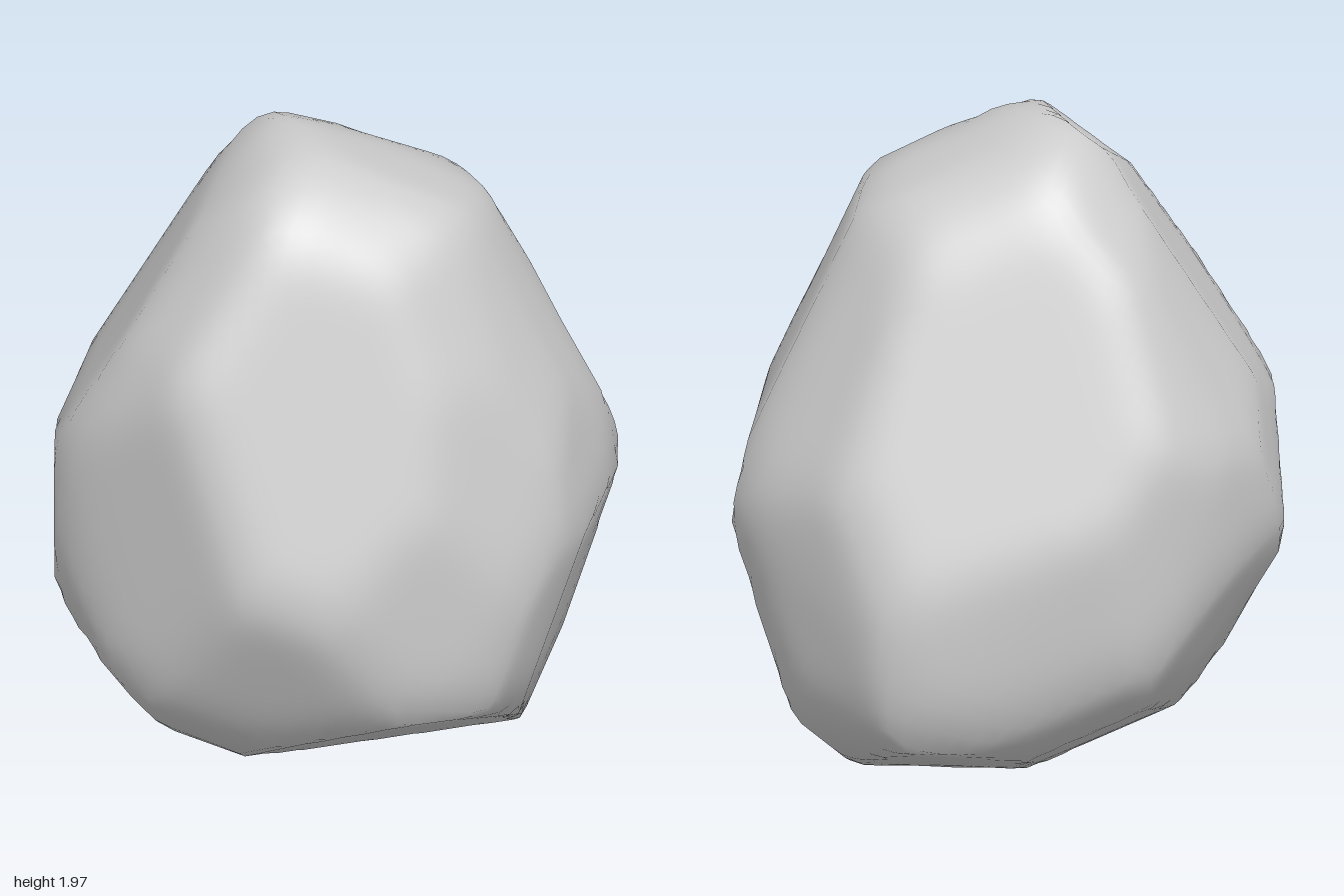
import * as THREE from 'three';
import { mergeVertices } from 'three/addons/utils/BufferGeometryUtils.js';

const CENTRE = new THREE.Vector3(0, 1, 0);

// Convex outlines (counter-clockwise, relative to the rock's centre), each on
// a plane turned and tilted by degrees. Every edge is one chisel cut.
const outlines = [
  { // width by height
    turn: 0, tilt: 0,
    points: [[-.28, -1.005], [.43, -.955], [.76, -.66], [.775, -.4], [.62, .3], [.4, .84],
      [.22, .95], [-.2, 1], [-.54, .57], [-.775, .02], [-.73, -.65]],
  },
  { // depth by height
    turn: 90, tilt: 0,
    points: [[-.38, -1.005], [.61, -.96], [.78, -.72], [.845, -.1], [.44, .78], [-.1, 1],
      [-.3, .95], [-.68, .43], [-.81, .15], [-.85, -.15], [-.78, -.62], [-.62, -.85]],
  },
  { // plan
    turn: 0, tilt: 90,
    points: [[-.28, .8], [-.7, .23], [-.775, -.1], [-.69, -.48], [-.22, -.85],
      [.47, -.64], [.62, -.43], [.77, .2], [.67, .47], [.37, .845]],
  },
  { // tilted diagonals
    turn: 35, tilt: 22.3,
    points: [[-.29, -1], [-.155, -1.035], [.645, -.79], [.81, -.2], [.73, .2], [.424, .78],
      [.203, .885], [-.22, .93], [-.4, .75], [-.83, -.03], [-.83, -.34], [-.627, -.66]],
  },
  {
    turn: -145, tilt: 22.3,
    points: [[-.573, -.925], [-.4, -1.045], [.137, -1.015], [.466, -.866], [.83, -.23],
      [.73, .2], [.3, .82], [-.012, 1.015], [-.436, .77], [-.765, .05], [-.81, -.25]],
  },
  {
    turn: 145, tilt: -22.3,
    points: [[-.41, -.943], [.24, -.931], [.525, -.806], [.68, -.65], [.705, -.2], [.364, .704],
      [.21, .87], [-.215, .89], [-.43, .7], [-.764, -.33], [-.53, -.818]],
  },
];

// Turn each outline edge into a cutting plane: outward normal and distance.
function cuttingPlanes() {
  const planes = [];
  for (const { turn, tilt, points } of outlines) {
    const a = THREE.MathUtils.degToRad(turn), e = THREE.MathUtils.degToRad(tilt);
    const across = new THREE.Vector3(Math.cos(a), 0, -Math.sin(a));
    const up = new THREE.Vector3(-Math.sin(a) * Math.sin(e), Math.cos(e), -Math.cos(a) * Math.sin(e));
    points.forEach(([x, y], i) => {
      const [x2, y2] = points[(i + 1) % points.length];
      const length = Math.hypot(x2 - x, y2 - y);
      const nx = (y2 - y) / length, ny = (x - x2) / length;
      const normal = across.clone().multiplyScalar(nx).addScaledVector(up, ny);
      planes.push({ normal, distance: nx * x + ny * y });
    });
  }
  return planes;
}

// Average normals with their neighbours so the worn edges shade softly.
function softenNormals(geometry, passes) {
  const normal = geometry.attributes.normal, index = geometry.index;
  const n = new THREE.Vector3(), m = new THREE.Vector3();
  for (let pass = 0; pass < passes; pass++) {
    const sums = Array.from({ length: normal.count }, () => new THREE.Vector3());
    for (let t = 0; t < index.count; t += 3) {
      n.set(0, 0, 0);
      for (let k = 0; k < 3; k++) n.add(m.fromBufferAttribute(normal, index.getX(t + k)));
      for (let k = 0; k < 3; k++) sums[index.getX(t + k)].add(n);
    }
    sums.forEach((s, i) => {
      s.normalize();
      normal.setXYZ(i, s.x, s.y, s.z);
    });
  }
}

// Push a ball's vertices out to the nearest cut in their direction.
function carvedRock() {
  const ball = new THREE.IcosahedronGeometry(1, 22);
  ball.deleteAttribute('uv');
  ball.deleteAttribute('normal');
  const geometry = mergeVertices(ball, 1e-4);
  const position = geometry.attributes.position;
  const planes = cuttingPlanes();
  const v = new THREE.Vector3();
  for (let i = 0; i < position.count; i++) {
    v.fromBufferAttribute(position, i).normalize();
    let reach = Infinity;
    for (const { normal, distance } of planes) {
      const facing = normal.dot(v);
      if (facing > 1e-4) reach = Math.min(reach, distance / facing);
    }
    v.multiplyScalar(reach).add(CENTRE);
    position.setXYZ(i, v.x, v.y, v.z);
  }
  geometry.computeVertexNormals();
  softenNormals(geometry, 8);
  return geometry;
}

export function createModel() {
  const group = new THREE.Group();
  group.name = 'boulder';
  const rock = new THREE.Mesh(carvedRock(), new THREE.MeshStandardMaterial({ color: 0xcccccc }));
  rock.name = 'rock';
  group.add(rock);
  return group;
}
